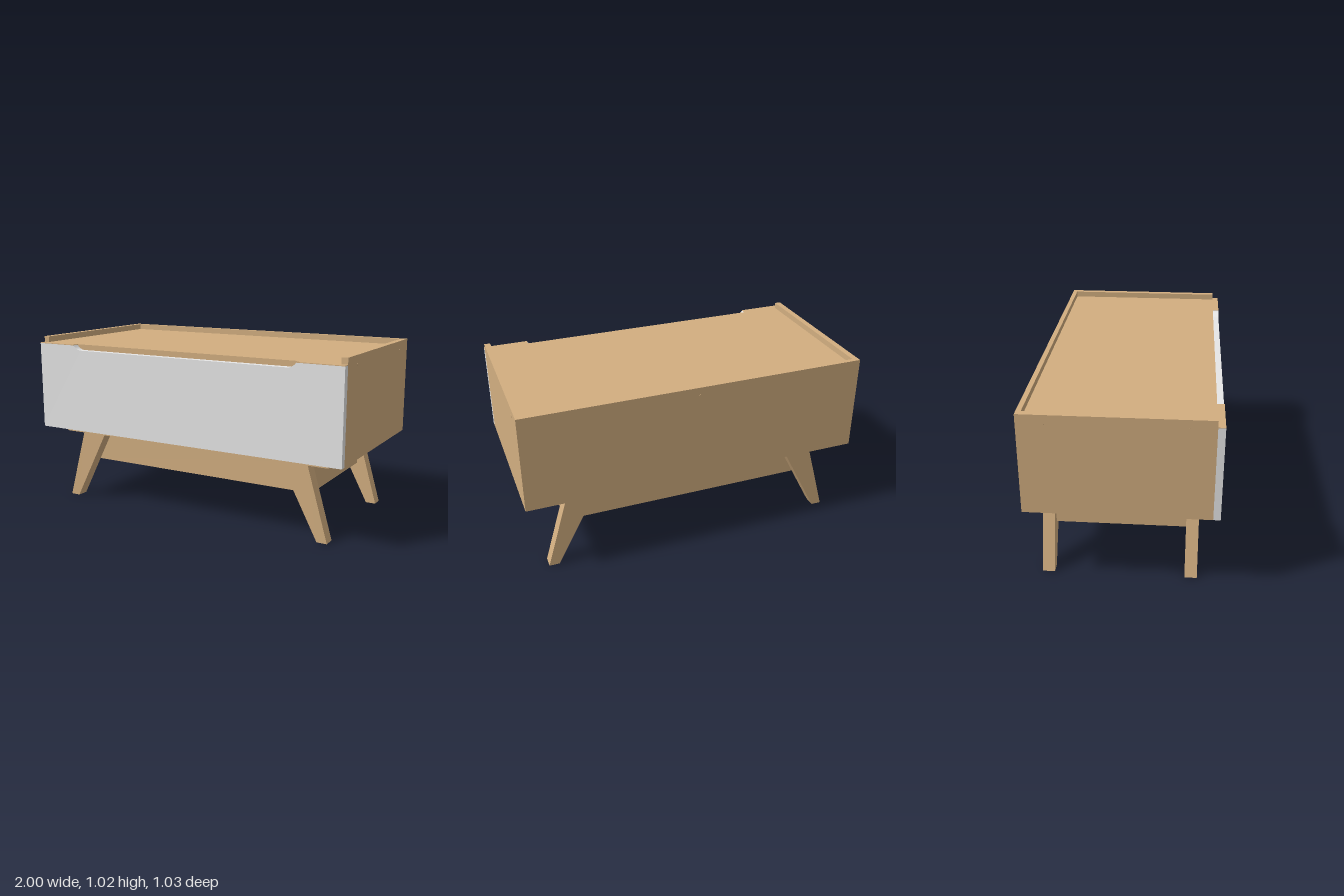
import * as THREE from 'three';

export function createModel() {
  const model = new THREE.Group();
  model.name = 'storageBench';
  const wood = new THREE.MeshStandardMaterial({ color: 0xd2ae80 });
  wood.name = 'wood';
  const paint = new THREE.MeshStandardMaterial({ color: 0xf2f2f2 });
  paint.name = 'frontPaint';

  const add = (name, geometry, material = wood) => {
    const mesh = new THREE.Mesh(geometry, material);
    mesh.name = name;
    model.add(mesh);
    return mesh;
  };
  // Box given by its lower and upper corners
  const box = (name, x0, x1, y0, y1, z0, z1, material = wood) =>
    add(name, new THREE.BoxGeometry(x1 - x0, y1 - y0, z1 - z0), material)
      .position.set((x0 + x1) / 2, (y0 + y1) / 2, (z0 + z1) / 2);
  // Thin round plug lying on a wall
  const plug = (name, x, y, z, axis) => {
    const mesh = add(name, new THREE.CylinderGeometry(0.008, 0.008, 0.003, 16));
    mesh.position.set(x, y, z);
    if (axis === 'x') mesh.rotation.z = Math.PI / 2;
    else mesh.rotation.x = Math.PI / 2;
  };

  // Chest body: lid sits below the rim of the sides and back
  box('lid', -0.965, 0.965, 0.95, 0.99, -0.485, 0.475);
  box('bottomBoard', -0.965, 0.965, 0.46, 0.495, -0.485, 0.475);
  box('backPanel', -0.965, 0.965, 0.46, 1.025, -0.512, -0.485);
  plug('backPlug', 0, 0.975, -0.512, 'z');

  // Front panel with a rounded finger notch in its top edge
  const capY = 0.986;
  const front = new THREE.Shape();
  front.moveTo(-1, 0.46);
  front.lineTo(1, 0.46);
  front.lineTo(1, capY);
  front.lineTo(0.735, capY);
  front.quadraticCurveTo(0.715, 0.958, 0.68, 0.958);
  front.lineTo(-0.68, 0.958);
  front.quadraticCurveTo(-0.715, 0.958, -0.735, capY);
  front.lineTo(-1, capY);
  front.closePath();
  const panel = new THREE.ExtrudeGeometry(front, { depth: 0.038, bevelEnabled: false, curveSegments: 8 });
  add('frontPanel', panel, paint).position.z = 0.475;

  // Base plate and the open apron frame under it
  box('basePlate', -0.89, 0.89, 0.425, 0.46, -0.457, 0.42);
  box('frontApron', -0.73, 0.73, 0.248, 0.425, 0.308, 0.34);
  box('backApron', -0.73, 0.73, 0.248, 0.425, -0.377, -0.345);

  // Splayed, tapering leg outline
  const legShape = new THREE.Shape([
    [0.83, 0], [0.89, 0], [0.767, 0.425], [0.605, 0.425],
  ].map(([x, y]) => new THREE.Vector2(x, y)));
  const legGeometry = new THREE.ExtrudeGeometry(legShape, { depth: 0.068, bevelEnabled: false });

  for (const s of [1, -1]) {
    const span = (a, b) => (s > 0 ? [a, b] : [-b, -a]);
    box('sidePanel', ...span(0.965, 1), 0.46, 1.025, -0.512, 0.475);
    box('frontPanelCap', ...span(0.737, 1), capY, 0.99, 0.475, 0.513);
    box('sideApron', ...span(0.73, 0.762), 0.248, 0.425, -0.377, 0.34);
    for (const z of [0.335, -0.375]) plug('sidePlug', s * 0.9995, 0.975, z, 'x');
    for (const z of [0.322, -0.36]) plug('apronPlug', s * 0.762, 0.38, z, 'x');

    // Legs on the front and back of the apron; the right pair is turned round
    for (const [name, z0, z1] of [['frontLeg', 0.34, 0.408], ['backLeg', -0.445, -0.377]]) {
      const leg = add(name, legGeometry);
      leg.position.z = s > 0 ? z0 : z1;
      if (s < 0) leg.rotation.y = Math.PI;
    }
  }
  return model;
}
